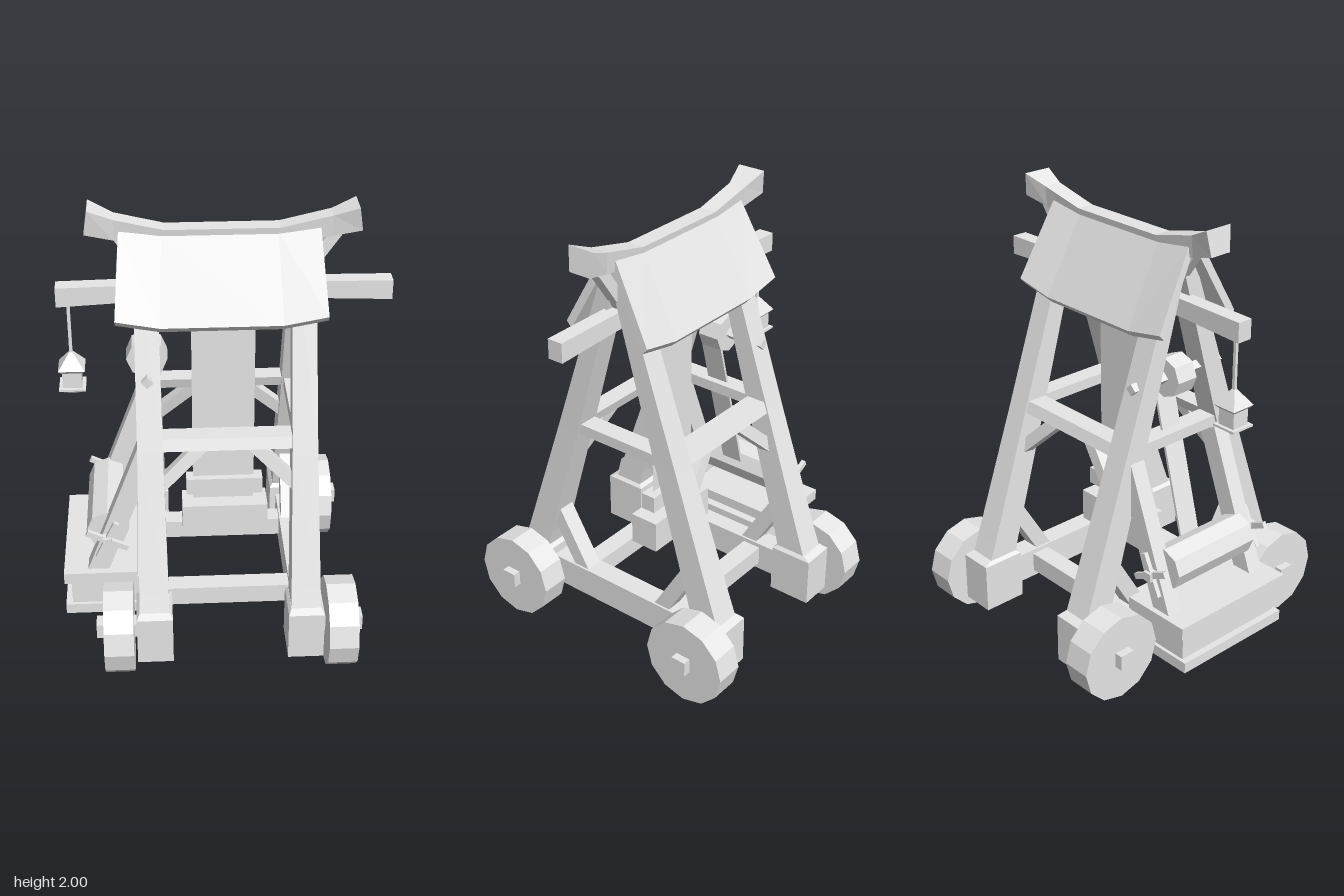
import * as THREE from 'three';

export function createModel() {
  const root = new THREE.Group();
  root.name = 'siegeTower';
  const mat = new THREE.MeshStandardMaterial({ color: 0xe7e7e7 });
  mat.name = 'plain grey';
  const cloth = new THREE.MeshStandardMaterial({ color: 0xe7e7e7, side: THREE.DoubleSide });
  cloth.name = 'plain grey cloth';

  // Adds a faceted mesh
  function add(name, geo, x = 0, y = 0, z = 0, material = mat) {
    const g = geo.index ? geo.toNonIndexed() : geo;
    g.computeVertexNormals();
    const m = new THREE.Mesh(g, material);
    m.name = name;
    m.position.set(x, y, z);
    root.add(m);
    return m;
  }
  // Box given by its limits
  const box = (name, x0, x1, y0, y1, z0, z1) =>
    add(name, new THREE.BoxGeometry(x1 - x0, y1 - y0, z1 - z0), (x0 + x1) / 2, (y0 + y1) / 2, (z0 + z1) / 2);
  // Straight beam between two points
  function beam(name, a, b, w, d) {
    const p = new THREE.Vector3(...a), q = new THREE.Vector3(...b);
    const dir = q.clone().sub(p), mid = p.clone().add(q).multiplyScalar(0.5);
    const m = add(name, new THREE.BoxGeometry(w, dir.length(), d), mid.x, mid.y, mid.z);
    m.quaternion.setFromUnitVectors(new THREE.Vector3(0, 1, 0), dir.normalize());
    return m;
  }
  // Closed solid through matching rings of points, turned outward by its signed volume
  function loft(rings) {
    const tris = [], n = rings[0].length, last = rings.length - 1;
    for (let i = 0; i < last; i++) {
      for (let j = 0; j < n; j++) {
        const k = (j + 1) % n, A = rings[i], B = rings[i + 1];
        tris.push([A[j], A[k], B[k]], [A[j], B[k], B[j]]);
      }
    }
    for (let j = 1; j < n - 1; j++) {
      tris.push([rings[0][0], rings[0][j + 1], rings[0][j]]);
      tris.push([rings[last][0], rings[last][j], rings[last][j + 1]]);
    }
    const v = (p) => new THREE.Vector3(...p);
    const volume = tris.reduce((s, [a, b, c]) => s + v(a).dot(v(b).cross(v(c))), 0);
    if (volume < 0) tris.forEach((t) => t.reverse());
    const g = new THREE.BufferGeometry();
    g.setAttribute('position', new THREE.Float32BufferAttribute(tris.flat(2), 3));
    return g;
  }
  const rect = (x, y, z, w, d) => [
    [x - w, y, z - d], [x + w, y, z - d], [x + w, y, z + d], [x - w, y, z + d]];

  const cx = 0.008; // centre line of the frame

  for (const sx of [-1, 1]) {
    const x = cx + sx * 0.333;
    for (const sz of [-1, 1]) {
      // Wheels on short axle stubs
      const wheel = add('wheel', new THREE.CylinderGeometry(0.2, 0.2, 0.13, 12), cx + sx * 0.49, 0.2, sz * 0.502);
      wheel.rotation.z = Math.PI / 2;
      const stub = add('axle', new THREE.BoxGeometry(0.2, 0.07, 0.07), cx + sx * 0.491, 0.204, sz * 0.502);
      // Leaning legs and their foot blocks
      add('leg', loft([
        rect(x, 0.25, sz * 0.515, 0.066, 0.075),
        rect(x, 0.4, sz * 0.468, 0.064, 0.068),
        rect(x, 1.0, sz * 0.275, 0.055, 0.056),
        rect(x, 1.87, sz * 0.003, 0.05, 0.034)]));
      add('foot', loft([
        rect(x, 0.08, sz * 0.503, 0.079, 0.102),
        rect(x, 0.31, sz * 0.503, 0.079, 0.102),
        rect(x, 0.325, sz * 0.495, 0.066, 0.075)]));
      // Braces
      beam('lowerBrace', [x, 0.23, sz * 0.215], [x, 0.56, sz * 0.412], 0.08, 0.07);
      beam('upperBrace', [cx + sx * 0.3, 0.82, sz * 0.32], [cx + sx * 0.1, 1.01, sz * 0.27], 0.055, 0.05);
    }
    // Side beams
    box('sideBeam', x - 0.05, x + 0.05, 0.13, 0.27, -0.42, 0.42);
    box('sideCrossbeam', x - 0.045, x + 0.045, 1.0, 1.05, -0.26, 0.26);
    // Strut under the ridge end
    const inset = sx < 0 ? 0.03 : 0;
    beam('ridgeStrut', [cx + sx * (0.31 - inset), 1.64, 0], [cx + sx * (0.47 - inset), 1.87, 0], 0.05, 0.055);
  }

  for (const sz of [-1, 1]) {
    // Low crossbeams inside the base
    box('baseCrossbeam', -0.33, 0.345, 0.16, 0.25, sz * 0.262 - 0.045, sz * 0.262 + 0.045);
    // Front and back crossbeams, outer face following the lean of the legs
    add('crossbeam', loft([-0.29, 0.3].map((x) => [
      [x, 1.0, sz * 0.325], [x, 1.05, sz * 0.305], [x, 1.05, sz * 0.215], [x, 1.0, sz * 0.23]])));
    // Curved roof panel
    const rings = [-1, -0.58, 0.58, 1].map((t) => {
      const end = Math.abs(t) === 1, top = end ? 1.9 : 1.875, low = end ? 1.57 : 1.535;
      const xt = t * 0.42, xb = t * 0.446, o = -0.01;
      return [
        [xt + o, top, sz * 0.035], [xb + o, low, sz * 0.215],
        [xb + o, low - 0.028, sz * 0.19], [xt + o, top - 0.028, sz * 0.01]];
    });
    add('roofPanel', loft(rings));
  }

  // Ridge beam with upturned, flared ends: x, top, bottom, half width
  add('ridgeBeam', loft([
    [-0.56, 2.0, 1.89, 0.067], [-0.45, 1.95, 1.855, 0.042], [-0.24, 1.9, 1.825, 0.04],
    [0.24, 1.9, 1.825, 0.04], [0.46, 1.95, 1.855, 0.042], [0.57, 1.99, 1.885, 0.067],
  ].map(([x, t, b, w]) => {
    const lean = Math.abs(x) > 0.5 ? Math.sign(x) * 0.012 : 0;
    return [[x - lean * 0.4, t, -w], [x - lean * 0.4, t, w], [x + lean, b, w * 0.78], [x + lean, b, -w * 0.78]];
  })));

  // Lateral beam below the roof, slightly deeper at its ends
  add('lateralBeam', loft([[-0.705, 1.562, 1.65], [-0.4, 1.578, 1.656], [0.4, 1.578, 1.656], [0.725, 1.565, 1.653]].map(
    ([x, b, t]) => [[x, b, -0.024], [x, b, 0.048], [x, t, 0.048], [x, t, -0.024]])));

  // Hanging banner with rods and a weight
  box('bannerTopRod', -0.165, 0.185, 1.46, 1.55, -0.03, 0.033);
  add('banner', new THREE.PlaneGeometry(0.28, 0.96), 0.006, 1.0, 0, cloth);
  box('bannerLowerRod', -0.165, 0.185, 0.58, 0.66, -0.038, 0.032);
  box('bannerWeight', -0.185, 0.207, 0.39, 0.54, -0.065, 0.075);

  // Lantern
  const lx = -0.655, lz = 0.018;
  const pyramid = (name, r0, r1, h, y) => {
    const g = new THREE.CylinderGeometry(r0 * Math.SQRT2, r1 * Math.SQRT2, h, 4);
    g.rotateY(Math.PI / 4);
    add(name, g, lx, y + h / 2, lz);
  };
  box('lanternCord', lx - 0.007, lx + 0.007, 1.31, 1.58, lz - 0.007, lz + 0.007);
  pyramid('lanternRoof', 0.008, 0.058, 0.07, 1.265);
  pyramid('lanternEave', 0.058, 0.045, 0.015, 1.25);
  pyramid('lanternBody', 0.042, 0.042, 0.075, 1.175);
  pyramid('lanternBase', 0.058, 0.058, 0.01, 1.167);
  pyramid('lanternTip', 0.055, 0.006, 0.037, 1.13);

  // Pulley on a square rod
  const px = -0.328, py = 1.3, zc = -0.012;
  const pulley = add('pulley', new THREE.CylinderGeometry(0.09, 0.09, 0.105, 8), px, py, zc);
  pulley.rotation.x = Math.PI / 2;
  const rod = add('pulleyRod', new THREE.BoxGeometry(0.038, 0.038, 0.51), px, py, 0.002);
  rod.rotation.z = Math.PI / 4;

  // Side platform
  box('platformTop', -0.73, -0.4, 0.3, 0.355, -0.325, 0.31);
  box('platformCore', -0.7, -0.36, 0.165, 0.305, -0.29, 0.28);
  box('platformBase', -0.73, -0.4, 0.12, 0.17, -0.305, 0.295);

  // Winch
  const wx = -0.527, wy = 0.525;
  const drum = add('winchDrum', new THREE.CylinderGeometry(0.095, 0.095, 0.46, 8), wx, wy, zc);
  drum.rotation.x = Math.PI / 2;
  box('winchShaft', wx - 0.02, wx + 0.02, wy - 0.02, wy + 0.02, zc - 0.33, zc + 0.33);
  for (const s of [-1, 1]) {
    const z = zc + s * 0.25;
    beam('winchPost', [-0.578, 0.34, z], [-0.335, 0.98, z], 0.09, 0.075);
    for (const turn of [0, Math.PI / 2]) {
      const spoke = add('winchHandle', new THREE.BoxGeometry(0.2, 0.026, 0.02), wx, wy, zc + s * 0.305);
      spoke.rotation.z = turn - 0.45;
    }
  }
  // Belt from drum to pulley
  beam('belt', [-0.455, 0.54, zc], [-0.262, 1.27, zc], 0.012, 0.105);

  return root;
}
